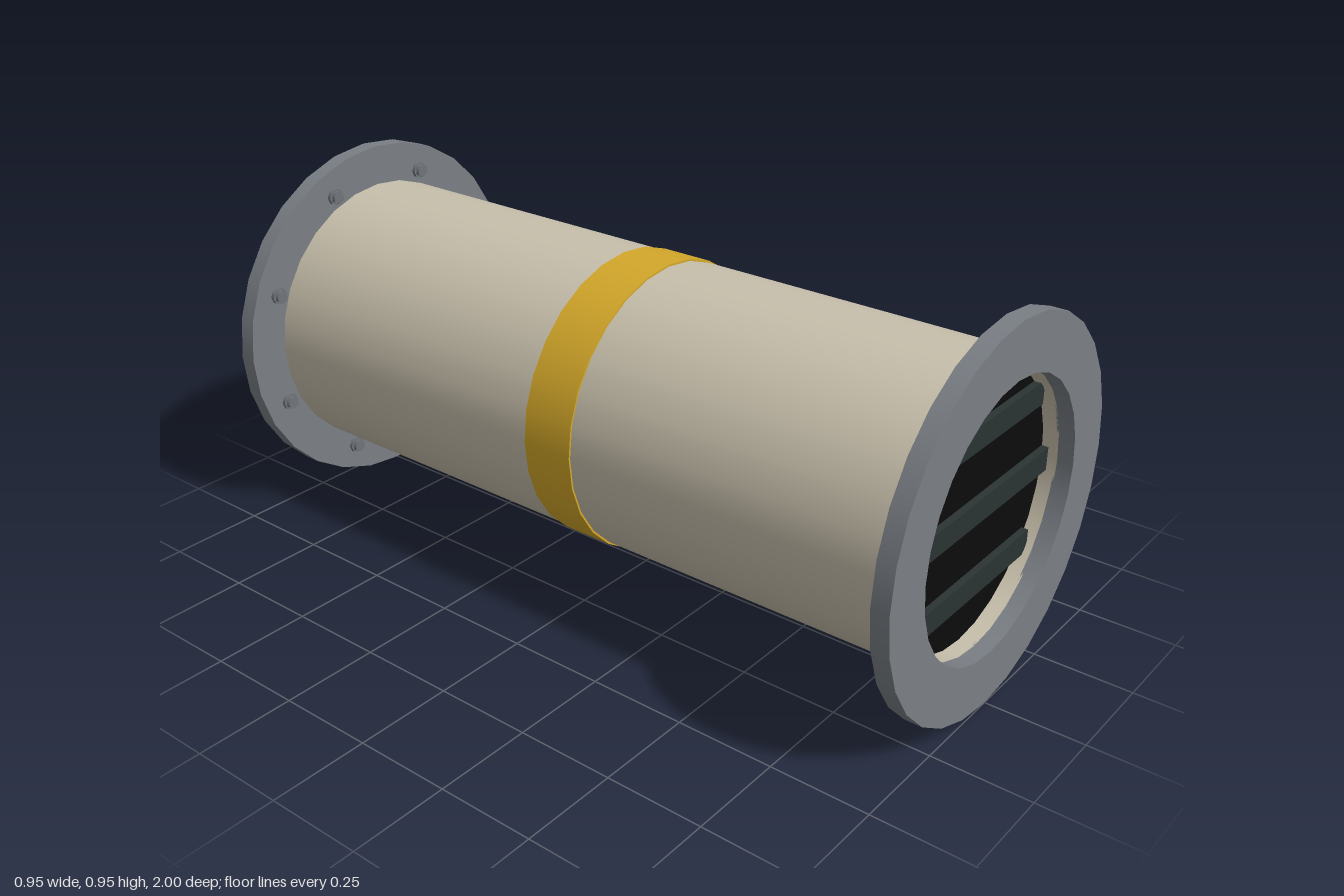
import * as THREE from 'three';

const SIDES = 28;
const CENTER_Y = 0.477;

function material(name, color) {
  const m = new THREE.MeshStandardMaterial({ color });
  m.name = name;
  return m;
}

// Closed ring around the z axis with sharp rims (doubled profile points)
function ringGeometry(inner, outer, length) {
  const h = length / 2;
  const p = (r, y) => new THREE.Vector2(r, y);
  const profile = [
    p(inner, -h), p(outer, -h), p(outer, -h), p(outer, h), p(outer, h),
    p(inner, h), p(inner, h), p(inner, -h),
  ];
  return new THREE.LatheGeometry(profile, SIDES).rotateX(Math.PI / 2);
}

export function createModel() {
  const beige = material('beige paint', 0xc8c0ac);
  const grey = material('flange grey', 0x7a7f85);
  const yellow = material('yellow band', 0xd4a82a);
  const black = material('dark interior', 0x0c0c0c);
  const slatGrey = material('slat grey', 0x2b3433);
  const boltGrey = material('bolt grey', 0x70757b);

  const model = new THREE.Group();
  model.name = 'flangedPipe';
  const add = (parent, name, geometry, mat, x = 0, y = 0, z = 0) => {
    const mesh = new THREE.Mesh(geometry, mat);
    mesh.name = name;
    mesh.position.set(x, y, z);
    parent.add(mesh);
    return mesh;
  };

  const body = new THREE.Group();
  body.name = 'pipeBody';
  body.position.y = CENTER_Y;
  model.add(body);

  // Hollow pipe and its painted band
  add(body, 'pipe', ringGeometry(0.338, 0.37, 1.92), beige);
  add(body, 'band', ringGeometry(0.365, 0.375, 0.14), yellow);

  // Two matching ends, built facing +z and turned round for the back
  for (const [name, turn] of [['frontEnd', 0], ['backEnd', Math.PI]]) {
    const end = new THREE.Group();
    end.name = name;
    end.rotation.y = turn;
    body.add(end);

    add(end, 'flange', ringGeometry(0.338, 0.477, 0.045), grey, 0, 0, 0.9775);
    add(end, 'backPlate', new THREE.CircleGeometry(0.345, SIDES), black, 0, 0, 0.92);

    // Grille slats, shorter above and below the middle
    for (const [y, width] of [[0.194, 0.544], [0, 0.664], [-0.194, 0.544]]) {
      add(end, 'slat', new THREE.BoxGeometry(width, 0.06, 0.025), slatGrey, 0, y, 0.925);
    }

    // Ring of bolts behind the flange
    for (let i = 0; i < 8; i++) {
      const a = ((i + 0.5) / 8) * Math.PI * 2;
      const bolt = new THREE.Group();
      bolt.name = 'bolt';
      bolt.position.set(Math.cos(a) * 0.405, Math.sin(a) * 0.405, 0);
      end.add(bolt);
      add(bolt, 'washer', new THREE.CylinderGeometry(0.023, 0.023, 0.01, 8).rotateX(Math.PI / 2),
        boltGrey, 0, 0, 0.951);
      add(bolt, 'boltHead', new THREE.CylinderGeometry(0.018, 0.018, 0.016, 6).rotateX(Math.PI / 2),
        boltGrey, 0, 0, 0.943);
    }
  }
  return model;
}
